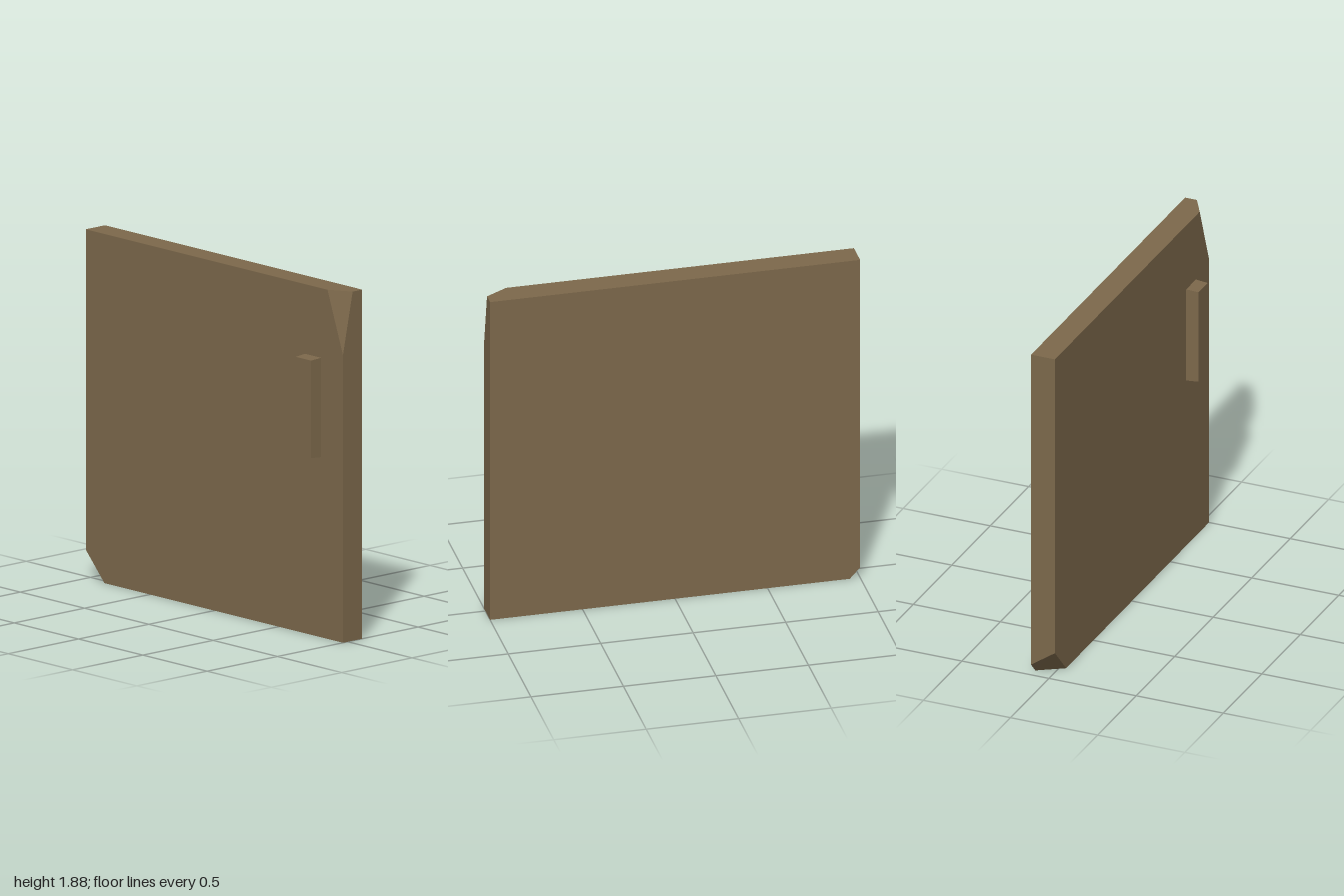
import * as THREE from 'three';
import { ConvexGeometry } from 'three/addons/geometries/ConvexGeometry.js';

const BACK = -0.103, FACE = 0.034, FRONT = 0.103, TOP = 1.882;

// Flat-faced solid spanned by its corner points
function solid(name, corners, material) {
  const points = corners.map(([x, y, z]) => new THREE.Vector3(x, y, z));
  const mesh = new THREE.Mesh(new ConvexGeometry(points), material);
  mesh.name = name;
  return mesh;
}

// Four corners of an upright rectangle at depth z
const rect = (x0, x1, y0, y1, z) => [[x0, y0, z], [x1, y0, z], [x1, y1, z], [x0, y1, z]];

export function createModel() {
  const model = new THREE.Group();
  model.name = 'door';

  const wood = new THREE.MeshStandardMaterial({ color: 0x7c684b });
  wood.name = 'brown wood';

  // Door slab with two chipped corners
  model.add(solid('doorPanel', [
    // plain corners
    [1, 0, FACE], [1, 0, BACK], [1, TOP, BACK], [-1, TOP, FACE], [-1, TOP, BACK],
    // chip at the upper left front corner
    [0.88, TOP, FACE], [1, TOP, -0.035], [1, 1.55, FACE],
    // slanted chip through the lower right corner
    [-1, 0.155, FACE], [-0.855, 0, FACE], [-1, 0.06, BACK], [-0.944, 0, BACK],
  ], wood));

  // Upright handle, tapering very slightly to the front
  model.add(solid('handle', [
    ...rect(0.704, 0.831, 0.971, 1.507, FACE - 0.005),
    ...rect(0.708, 0.827, 0.976, 1.502, FRONT),
  ], wood));

  return model;
}
